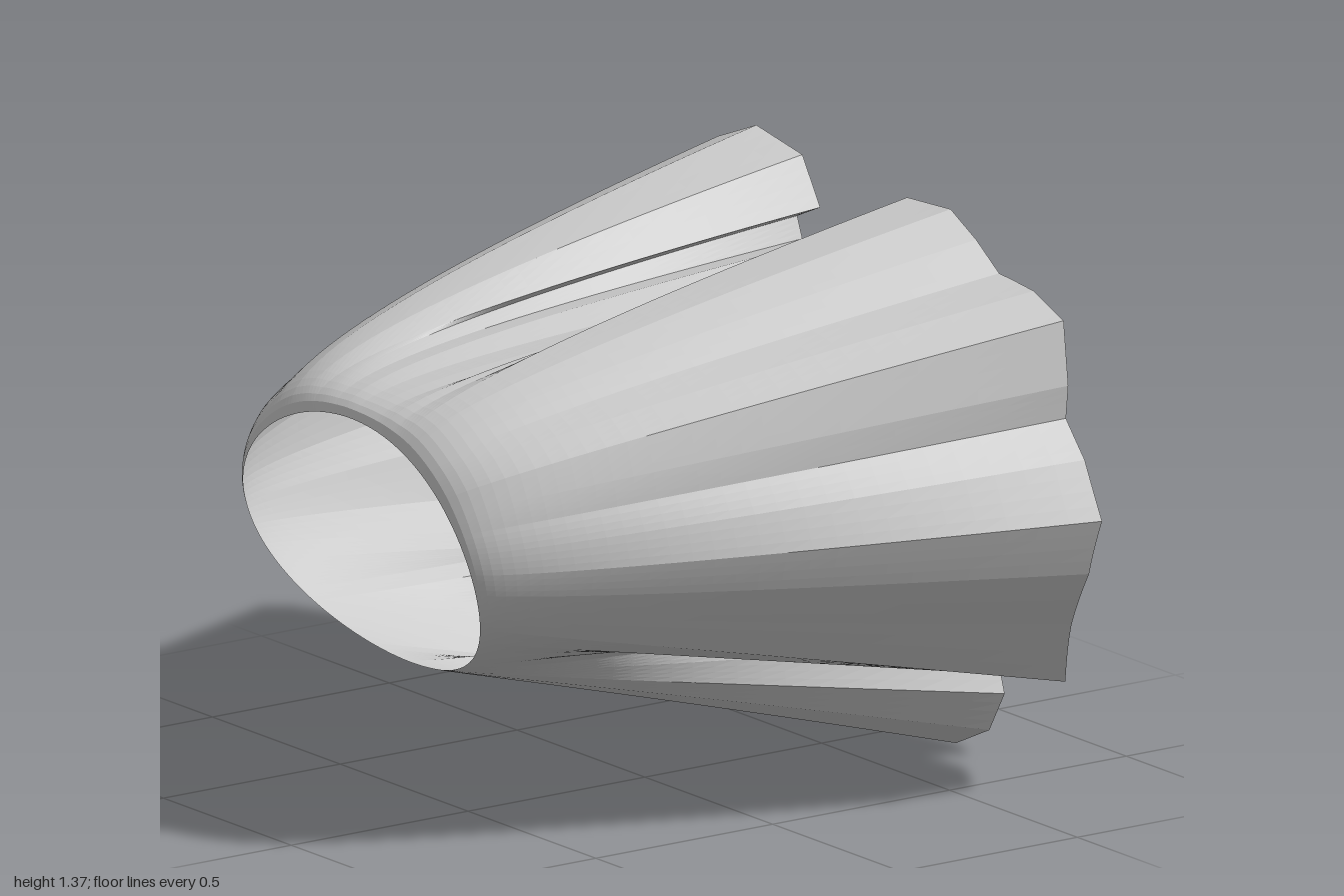
import * as THREE from 'three';

// Hem outline seen from the front, clockwise from the left side: x, y pairs.
const HEM = [
  1.00, 0.74, 0.94, 0.60, 0.83, 0.45, 0.72, 0.28, 0.54, 0.24, 0.36, 0.31, 0.34, 0.36, 0.28, 0.42,
  0.26, 0.36, 0.33, 0.28, 0.37, 0.16, 0.31, 0.06, 0.18, 0.00, 0.01, 0.03, -0.06, 0.10, -0.07, 0.22,
  -0.05, 0.37, -0.09, 0.22, -0.11, 0.12, -0.17, 0.03, -0.28, 0.01, -0.39, 0.12, -0.46, 0.22, -0.50, 0.32,
  -0.45, 0.36, -0.42, 0.41, -0.49, 0.42, -0.58, 0.36, -0.67, 0.31, -0.77, 0.32, -0.86, 0.41, -0.90, 0.59,
  -0.98, 0.70, -1.00, 0.91, -0.95, 1.03, -0.87, 1.10, -0.60, 1.22, -0.53, 1.31, -0.38, 1.37, -0.20, 1.34,
  -0.13, 1.23, -0.22, 1.19, -0.20, 1.14, -0.11, 1.16, 0.00, 1.12, 0.14, 1.14, 0.19, 1.14, 0.18, 1.21,
  0.14, 1.22, 0.21, 1.33, 0.38, 1.34, 0.48, 1.29, 0.57, 1.23, 0.71, 1.22, 0.84, 1.18, 0.86, 1.03,
  0.85, 0.95, 0.93, 0.87,
];
const SUB = 4, ROWS = 30, SIGMA = 14;
const WAIST = { x: -0.025, y: 0.675, a: 0.445, b: 0.305 };
const { lerp, smoothstep } = THREE.MathUtils;

// Subdivide the hem so each pleat facet keeps its width.
function sampleHem() {
  const n = HEM.length / 2, out = [];
  for (let i = 0; i < n; i++) {
    const k = (i + 1) % n;
    for (let s = 0; s < SUB; s++) {
      out.push(new THREE.Vector2(
        lerp(HEM[2 * i], HEM[2 * k], s / SUB),
        lerp(HEM[2 * i + 1], HEM[2 * k + 1], s / SUB)));
    }
  }
  return out;
}

// Gaussian average around the loop: the flare without its pleats.
function smoothLoop(pts) {
  const n = pts.length, reach = SIGMA * 3;
  return pts.map((_, i) => {
    const sum = new THREE.Vector2();
    let total = 0;
    for (let d = -reach; d <= reach; d++) {
      const w = Math.exp(-d * d / (2 * SIGMA * SIGMA));
      sum.addScaledVector(pts[(i + d + n) % n], w);
      total += w;
    }
    return sum.divideScalar(total);
  });
}

// The hem trails further back along the underside, most at the centre pleat.
function hemZ(x, y) {
  const low = 1 - smoothstep(y, 0.2, 0.7);
  const middle = 1 - smoothstep(Math.abs(x), 0.45, 0.9);
  const tip = Math.exp(-(((x + 0.08) / 0.05) ** 2) - ((y - 0.2) / 0.12) ** 2);
  const sides = 0.02 * smoothstep(Math.abs(x), 0.6, 1);
  return -0.59 + sides - 0.05 * low - 0.11 * low * middle - 0.06 * tip;
}

function skirtGeometry() {
  const hem = sampleHem(), flare = smoothLoop(hem), n = hem.length;
  const pos = [], index = [];
  for (let i = 0; i <= ROWS; i++) {
    const t = (i / ROWS) ** 1.6;
    for (let j = 0; j < n; j++) {
      const h = hem[j], f = flare[j];
      const angle = Math.atan2((f.y - WAIST.y) / WAIST.b, (f.x - WAIST.x) / WAIST.a);
      const wx = WAIST.x + WAIST.a * Math.cos(angle);
      const wy = WAIST.y + WAIST.b * Math.sin(angle);
      const wz = 0.82 - 0.64 * (0.9 - wy) ** 2;
      // Rounder flare on top, straighter underneath; pleats deepen to the hem.
      const p = 0.65 - 0.22 * Math.sin(angle);
      const spread = t ** p, pleat = t ** (p + 0.4);
      pos.push(
        lerp(wx, f.x, spread) + (h.x - f.x) * pleat,
        lerp(wy, f.y, spread) + (h.y - f.y) * pleat,
        lerp(wz, hemZ(h.x, h.y), t));
      if (i < ROWS) {
        const a = i * n + j, b = i * n + (j + 1) % n;
        index.push(a, b, a + n, b, b + n, a + n);
      }
    }
  }
  const geo = new THREE.BufferGeometry();
  geo.setAttribute('position', new THREE.Float32BufferAttribute(pos, 3));
  geo.setIndex(index);
  geo.computeVertexNormals();
  return geo;
}

export function createModel() {
  const group = new THREE.Group();
  group.name = 'pleatedSkirt';
  const cloth = new THREE.MeshStandardMaterial({
    color: 0xcccccc, side: THREE.DoubleSide, flatShading: true,
  });
  const skirt = new THREE.Mesh(skirtGeometry(), cloth);
  skirt.name = 'skirtCloth';
  group.add(skirt);
  return group;
}
